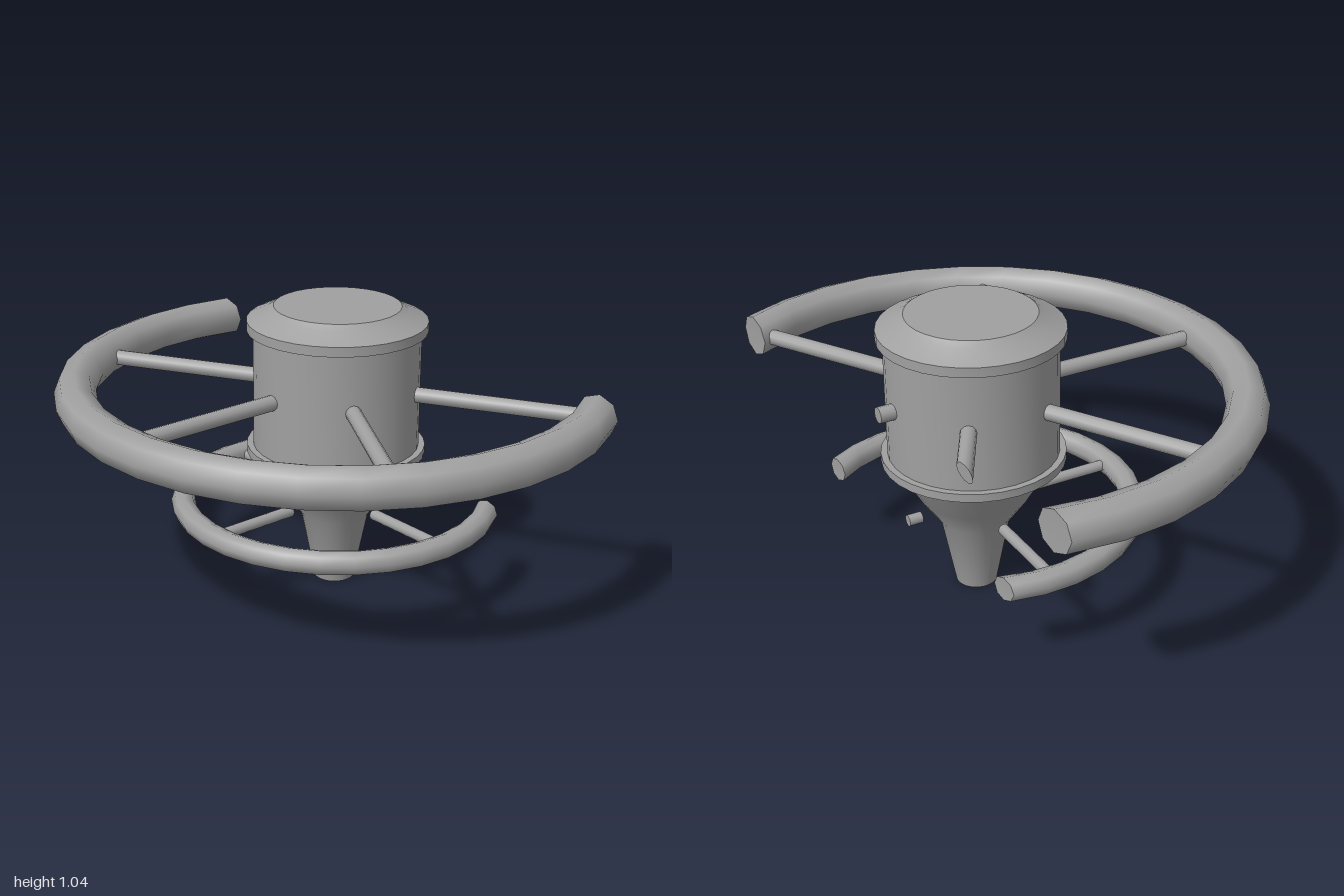
import * as THREE from 'three';
import { toCreasedNormals } from 'three/addons/utils/BufferGeometryUtils.js';

const CX = 0.255; // x of the hub axis
const rad = THREE.MathUtils.degToRad;

// Open octagonal ring; angles run from +z over -x, ends = [inner, outer] degrees of each slanted cut
function ringGeometry(R, r, y, start, end, steps = 20, sides = 8) {
  const verts = [];
  const point = (i, j) => {
    const v = (j / sides) * Math.PI * 2;
    const k = (1 + Math.cos(v)) / 2; // 0 on the inside, 1 on the outside
    const a = THREE.MathUtils.lerp(start[0], start[1], k);
    const b = THREE.MathUtils.lerp(end[0], end[1], k);
    const phi = rad(a + ((b - a) * i) / steps);
    const d = R + r * Math.cos(v);
    return [CX - d * Math.sin(phi), y + r * Math.sin(v), d * Math.cos(phi)];
  };
  const tri = (...p) => p.forEach((q) => verts.push(...q));
  for (let j = 0; j < sides; j++) {
    for (let i = 0; i < steps; i++) {
      const a = point(i, j), b = point(i, j + 1), c = point(i + 1, j), d = point(i + 1, j + 1);
      tri(a, b, c);
      tri(b, d, c);
    }
    // end caps as fans
    if (j > 0 && j < sides - 1) {
      tri(point(0, 0), point(0, j + 1), point(0, j));
      tri(point(steps, 0), point(steps, j), point(steps, j + 1));
    }
  }
  const g = new THREE.BufferGeometry();
  g.setAttribute('position', new THREE.Float32BufferAttribute(verts, 3));
  return toCreasedNormals(g, 1.0);
}

// Radial rod; cutX optionally slices the tip at a fixed distance along x from the axis
function spokeGeometry(angle, r0, r1, radius, y, cutX) {
  const t = rad(angle);
  const g = new THREE.CylinderGeometry(radius, radius, r1 - r0, 12);
  g.rotateZ(-Math.PI / 2).translate((r0 + r1) / 2, 0, 0);
  if (cutX !== undefined) {
    const p = g.attributes.position;
    const mid = (r0 + r1) / 2;
    for (let i = 0; i < p.count; i++) {
      if (p.getX(i) > mid) p.setX(i, (cutX - p.getZ(i) * Math.sin(t)) / Math.cos(t));
    }
    g.computeVertexNormals();
  }
  return g.rotateY(t).translate(CX, y, 0);
}

export function createModel() {
  const model = new THREE.Group();
  model.name = 'ringedStation';
  const grey = new THREE.MeshStandardMaterial({ color: 0xa0a0a0 });
  grey.name = 'grey';
  const add = (name, geometry, parent = model) => {
    const mesh = new THREE.Mesh(geometry, grey);
    mesh.name = name;
    parent.add(mesh);
    return mesh;
  };

  // Hub: tapered stem, flared cone, drum with two flanges, bevelled lid
  const profile = [
    [0, 0], [0.073, 0], [0.123, 0.255], [0.197, 0.36], [0.262, 0.47], [0.31, 0.495],
    [0.32, 0.5], [0.32, 0.53], [0.297, 0.53], [0.297, 0.955], [0.32, 0.955],
    [0.32, 0.99], [0.25, 1.022], [0.225, 1.04], [0, 1.04],
  ].map(([x, y]) => new THREE.Vector2(x, y));
  const hub = toCreasedNormals(new THREE.LatheGeometry(profile, 32), 0.5);
  add('hub', hub.translate(CX, 0, 0));

  // Broken rings
  add('largeRing', ringGeometry(0.925, 0.074, 0.745, [-33.7, -29.1], [194.5, 191]));
  add('smallRing', ringGeometry(0.555, 0.043, 0.312, [-39, -34], [200.5, 195.6]));

  // Upper spokes: four whole, two broken off
  const upper = new THREE.Group();
  upper.name = 'upperSpokes';
  model.add(upper);
  for (const angle of [120, 180, 240, 300]) {
    add('upperSpoke', spokeGeometry(angle, 0.28, 0.88, 0.028, 0.745), upper);
  }
  add('slicedUpperSpoke', spokeGeometry(60, 0.28, 0.55, 0.028, 0.745, 0.275), upper);
  add('upperSpokeStub', spokeGeometry(0, 0.28, 0.35, 0.028, 0.745), upper);

  // Lower spokes: three whole, one floating stub
  const lower = new THREE.Group();
  lower.name = 'lowerSpokes';
  model.add(lower);
  for (const angle of [90, 180, 270]) {
    add('lowerSpoke', spokeGeometry(angle, 0.21, 0.53, 0.02, 0.312), lower);
  }
  add('lowerSpokeStub', spokeGeometry(0, 0.21, 0.26, 0.02, 0.312), lower);

  return model;
}
